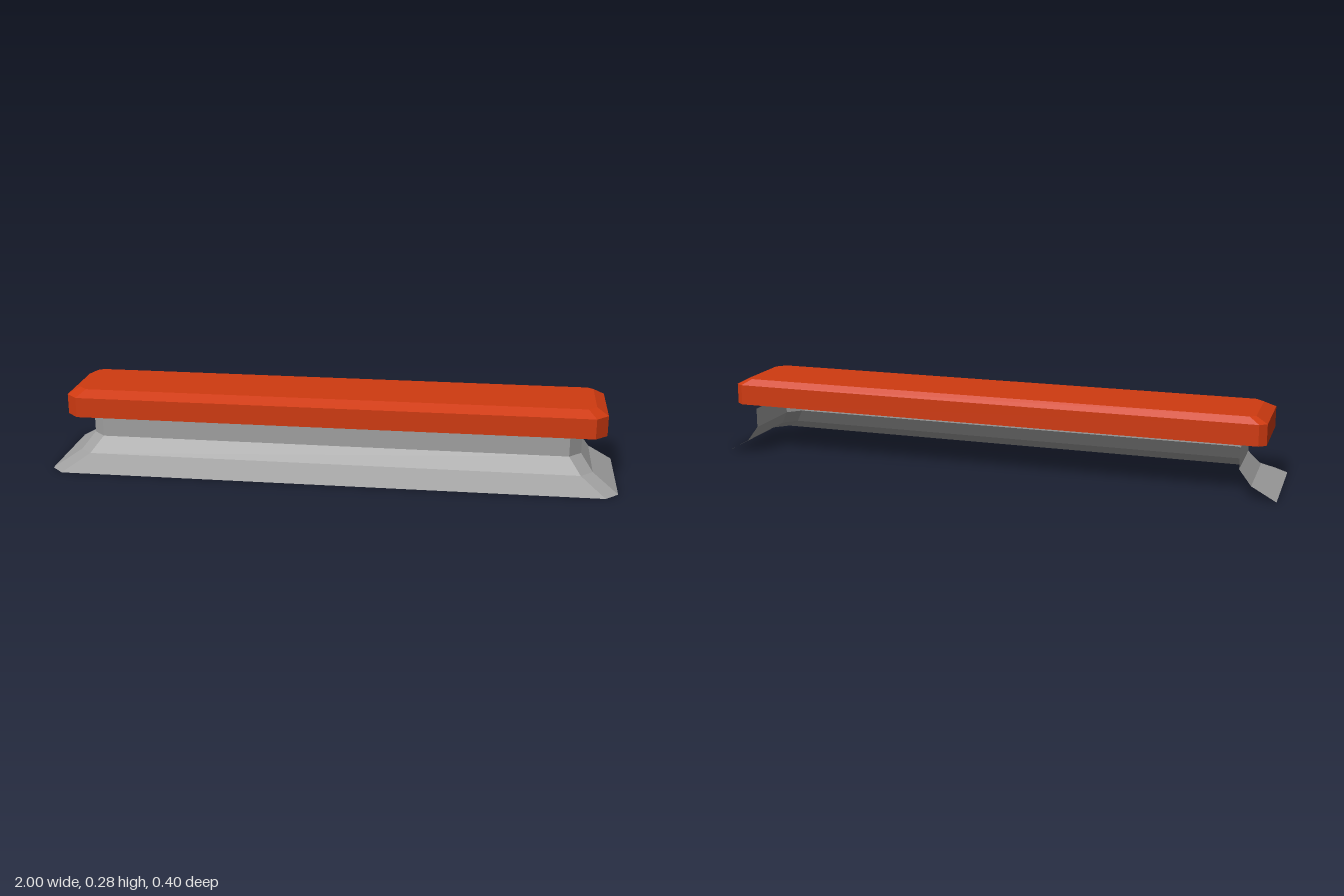
import * as THREE from 'three';

// Outline running from the back right corner round the front to the back left, at height y
const openRing = (y, x, z, c) => [
  [-x, y, -0.2], [-x, y, z - c], [-x + c, y, z],
  [x - c, y, z], [x, y, z - c], [x, y, -0.2],
];

// Closed outline with chamfered corners; c in front, b behind
const closedRing = (y, x, front, back, c, bx, bz) => [
  [-x + bx, y, back], [-x, y, back + bz], [-x, y, front - c], [-x + c, y, front],
  [x - c, y, front], [x, y, front - c], [x, y, back + bz], [x - bx, y, back],
];

// Join successive rings (bottom to top) with flat faces, optionally capping the top
function loft(rings, closed) {
  const pos = [];
  const n = rings[0].length;
  for (let r = 0; r < rings.length - 1; r++) {
    for (let i = 0; i < (closed ? n : n - 1); i++) {
      const j = (i + 1) % n;
      const [a, b, c, d] = [rings[r][i], rings[r][j], rings[r + 1][j], rings[r + 1][i]];
      pos.push(...a, ...b, ...c, ...a, ...c, ...d);
    }
  }
  if (closed) {
    const top = rings[rings.length - 1];
    for (let i = 1; i < n - 1; i++) pos.push(...top[0], ...top[i], ...top[i + 1]);
  }
  const geo = new THREE.BufferGeometry();
  geo.setAttribute('position', new THREE.Float32BufferAttribute(pos, 3));
  geo.computeVertexNormals();
  return geo;
}

export function createModel() {
  const group = new THREE.Group();
  const grey = new THREE.MeshStandardMaterial({ color: 0xa0a0a0, side: THREE.DoubleSide, flatShading: true });
  grey.name = 'grey';
  const red = new THREE.MeshStandardMaterial({ color: 0xcf3a10, side: THREE.DoubleSide, flatShading: true });
  red.name = 'red';

  // Flared skirt, open at the back and the top
  const skirt = new THREE.Mesh(loft([
    openRing(0, 1, 0.2, 0.045),
    openRing(0.047, 0.916, 0.116, 0.043),
    openRing(0.101, 0.875, 0.075, 0.043),
    openRing(0.17, 0.875, 0.075, 0.043),
  ], false), grey);
  skirt.name = 'skirt';

  // Floating cover, hollow underneath
  const cover = new THREE.Mesh(loft([
    closedRing(0.182, 0.957, 0.116, -0.2, 0.042, 0.025, 0.018),
    closedRing(0.254, 0.957, 0.116, -0.2, 0.042, 0.025, 0.018),
    closedRing(0.275, 0.918, 0.074, -0.181, 0.03, 0.02, 0.015),
  ], true), red);
  cover.name = 'cover';

  group.add(skirt, cover);
  return group;
}
